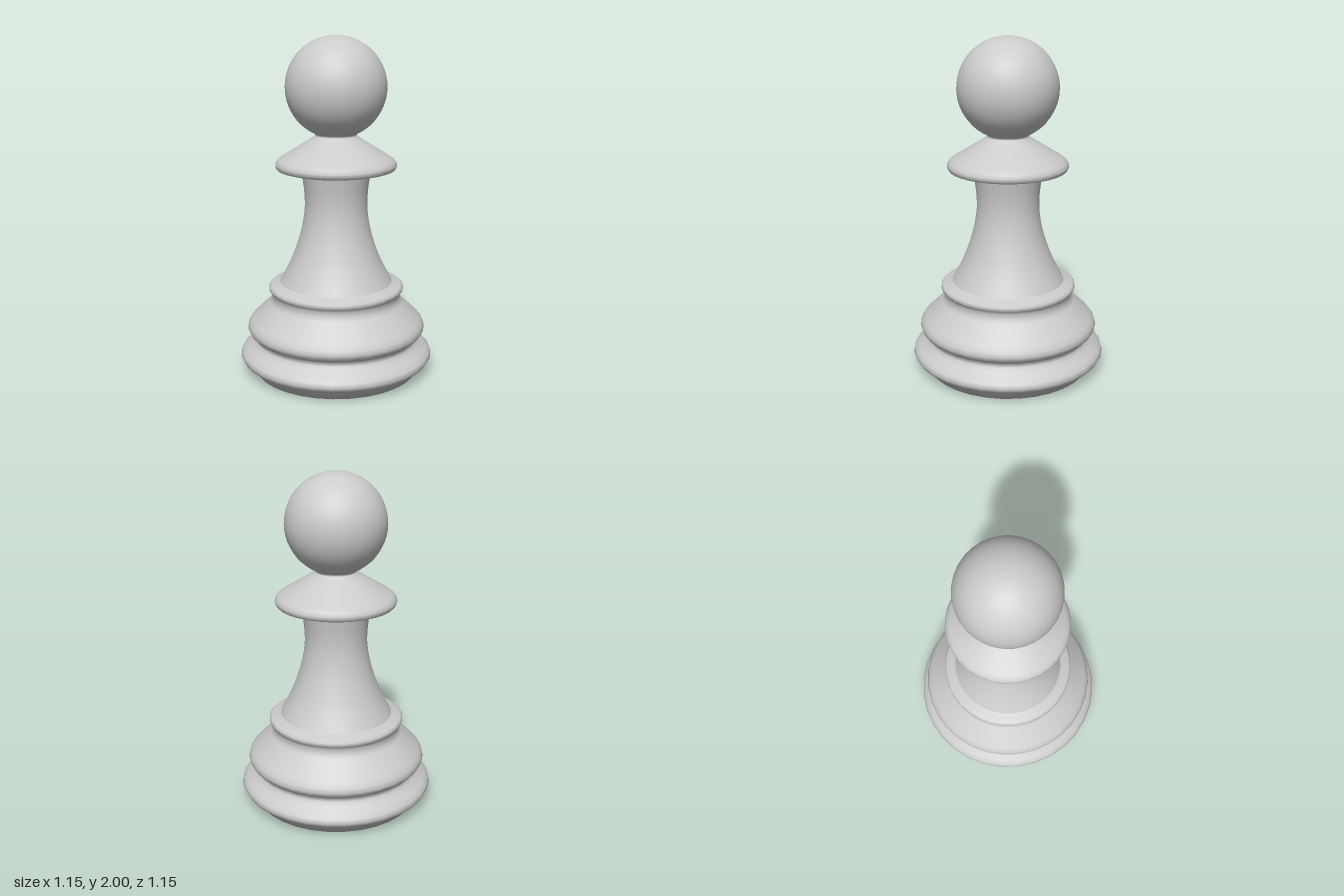
import * as THREE from 'three';

const SIDES = 32;
const material = new THREE.MeshStandardMaterial({ color: 0xcccccc });
const toPoints = (pairs) => pairs.map(([r, y]) => new THREE.Vector2(r, y));

export function createModel() {
  const model = new THREE.Group();
  model.name = 'pawn';

  const add = (name, geometry) => {
    const mesh = new THREE.Mesh(geometry, material);
    mesh.name = name;
    model.add(mesh);
    return mesh;
  };
  // Profiles run from bottom to top as [radius, height]
  const turn = (name, points) => add(name, new THREE.LatheGeometry(points, SIDES));

  // Closed foot, two wide beads and the small ring above them
  turn('base', toPoints([
    [0, 0], [0.49, 0], [0.49, 0.045], [0.535, 0.057], [0.565, 0.077], [0.577, 0.1],
    [0.57, 0.125], [0.545, 0.147], [0.505, 0.175], [0.488, 0.195], [0.485, 0.215],
    [0.505, 0.23], [0.525, 0.25], [0.533, 0.272], [0.526, 0.298], [0.505, 0.325],
    [0.4, 0.425], [0.385, 0.445], [0.383, 0.475], [0.392, 0.492], [0.402, 0.503],
    [0.402, 0.52], [0.39, 0.532], [0.355, 0.54], [0.335, 0.55],
  ]));

  // Flared stem
  const stem = new THREE.SplineCurve(toPoints([
    [0.335, 0.55], [0.275, 0.665], [0.23, 0.78], [0.2, 0.89],
    [0.185, 1.0], [0.189, 1.11], [0.206, 1.225],
  ]));
  turn('stem', stem.getPoints(18));

  // Collar: flat underside, then rounded rim and sloping top
  turn('collarUnderside', toPoints([[0.325, 1.225], [0.2, 1.225]].reverse()));
  turn('collar', toPoints([
    [0.325, 1.225], [0.345, 1.231], [0.355, 1.245], [0.356, 1.262], [0.345, 1.28],
    [0.325, 1.296], [0.15, 1.405], [0.122, 1.425], [0.12, 1.435], [0.135, 1.444],
  ]));

  // Ball head, left open where it meets the neck
  const head = add('head', new THREE.SphereGeometry(0.295, SIDES, 24, 0, Math.PI * 2, 0, Math.PI * 0.86));
  head.position.y = 1.705;

  return model;
}
